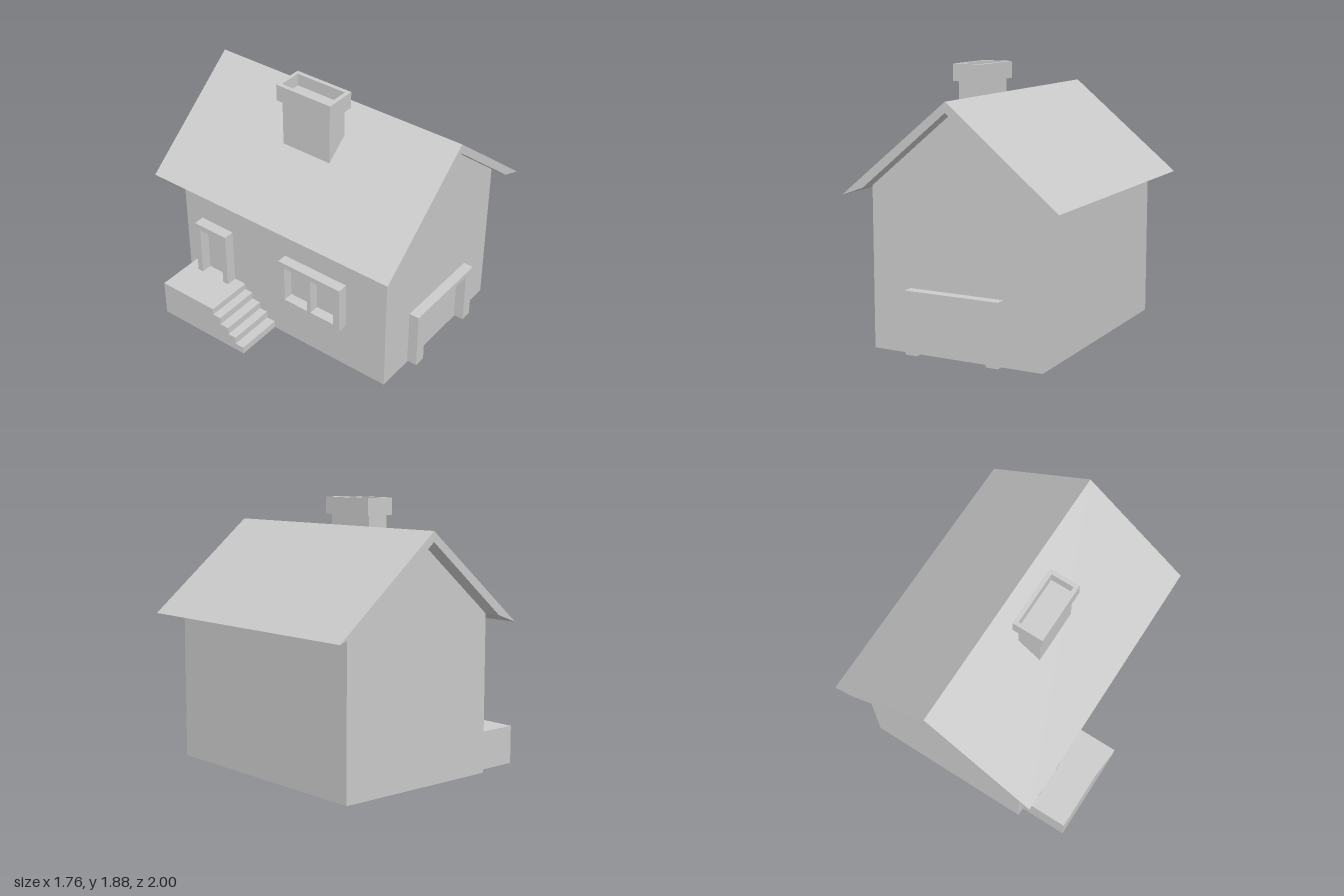
import * as THREE from 'three';

const material = new THREE.MeshStandardMaterial({ color: 0xcccccc, flatShading: true });

function shapeOf(points) {
  return new THREE.Shape(points.map(([x, y]) => new THREE.Vector2(x, y)));
}

function rect(x0, x1, y0, y1) {
  return [[x0, y0], [x1, y0], [x1, y1], [x0, y1]];
}

// Outline with optional rectangular holes, extruded along z from z0 by depth
function slab(points, depth, z0 = 0, holes = []) {
  const shape = shapeOf(points);
  for (const h of holes) shape.holes.push(shapeOf(rect(...h)));
  return new THREE.ExtrudeGeometry(shape, { depth, bevelEnabled: false }).translate(0, 0, z0);
}

function box(x0, x1, y0, y1, z0, z1) {
  return new THREE.BoxGeometry(x1 - x0, y1 - y0, z1 - z0)
    .translate((x0 + x1) / 2, (y0 + y1) / 2, (z0 + z1) / 2);
}

// Upside-down U outline for a door surround
function portal(x0, x1, y0, y1, post, lintel) {
  return [[x0, y0], [x0 + post, y0], [x0 + post, y1 - lintel], [x1 - post, y1 - lintel],
    [x1 - post, y0], [x1, y0], [x1, y1], [x0, y1]];
}

export function createModel() {
  const house = new THREE.Group();
  house.name = 'house';
  const add = (name, geometry) => {
    const mesh = new THREE.Mesh(geometry, material);
    mesh.name = name;
    house.add(mesh);
  };
  // Turns a geometry drawn in (z, y) so its depth points out of the -x wall
  const sideWall = -0.535;
  const onSide = (geometry) => geometry.rotateY(-Math.PI / 2).translate(sideWall, 0, 0);

  // Walls with gables
  add('walls', slab([[sideWall, 0], [0.72, 0], [0.72, 1.11], [0.09, 1.63], [sideWall, 1.11]], 1.765, -0.88));

  // Roof with tapered eaves
  add('roof', slab([[-0.7, 1.05], [sideWall, 1.11], [0.09, 1.63], [0.72, 1.11], [0.88, 1.05], [0.09, 1.7]], 2, -1));

  // Chimney stack and hollow cap
  add('chimneyStack', box(-0.26, -0.095, 1.25, 1.79, -0.185, 0.205));
  const cap = slab(rect(-0.29, -0.065, -0.235, 0.21), 0.12, 0, [[-0.26, -0.095, -0.205, 0.185]]);
  add('chimneyCap', cap.rotateX(-Math.PI / 2).translate(0, 1.76, 0));

  // Garage surround on the front wall
  add('garageFrame', slab(portal(-0.25, 0.44, 0.01, 0.445, 0.088, 0.037), 0.08, 0.88));

  // Side door surround standing on the porch
  add('doorFrame', onSide(slab(portal(-0.73, -0.445, 0.27, 0.695, 0.045, 0.045), 0.08)));

  // Side window: two openings leave the mullion between them
  add('windowFrame', onSide(slab(rect(0.033, 0.556, 0.36, 0.72), 0.076, 0,
    [[0.083, 0.28, 0.4, 0.68], [0.31, 0.506, 0.4, 0.68]])));

  // Porch platform with steps descending towards the front
  const stepEnds = [-0.35, -0.285, -0.215, -0.15, -0.08];
  const stepTops = [0.27, 0.22, 0.165, 0.11, 0.055];
  const profile = [[-0.82, 0]];
  profile.push([stepEnds[4], 0]);
  for (let i = 4; i >= 0; i--) {
    profile.push([stepEnds[i], stepTops[i]]);
    if (i > 0) profile.push([stepEnds[i - 1], stepTops[i]]);
  }
  profile.push([-0.82, 0.27]);
  add('porchSteps', onSide(slab(profile, 0.5, -0.15)));

  return house;
}
